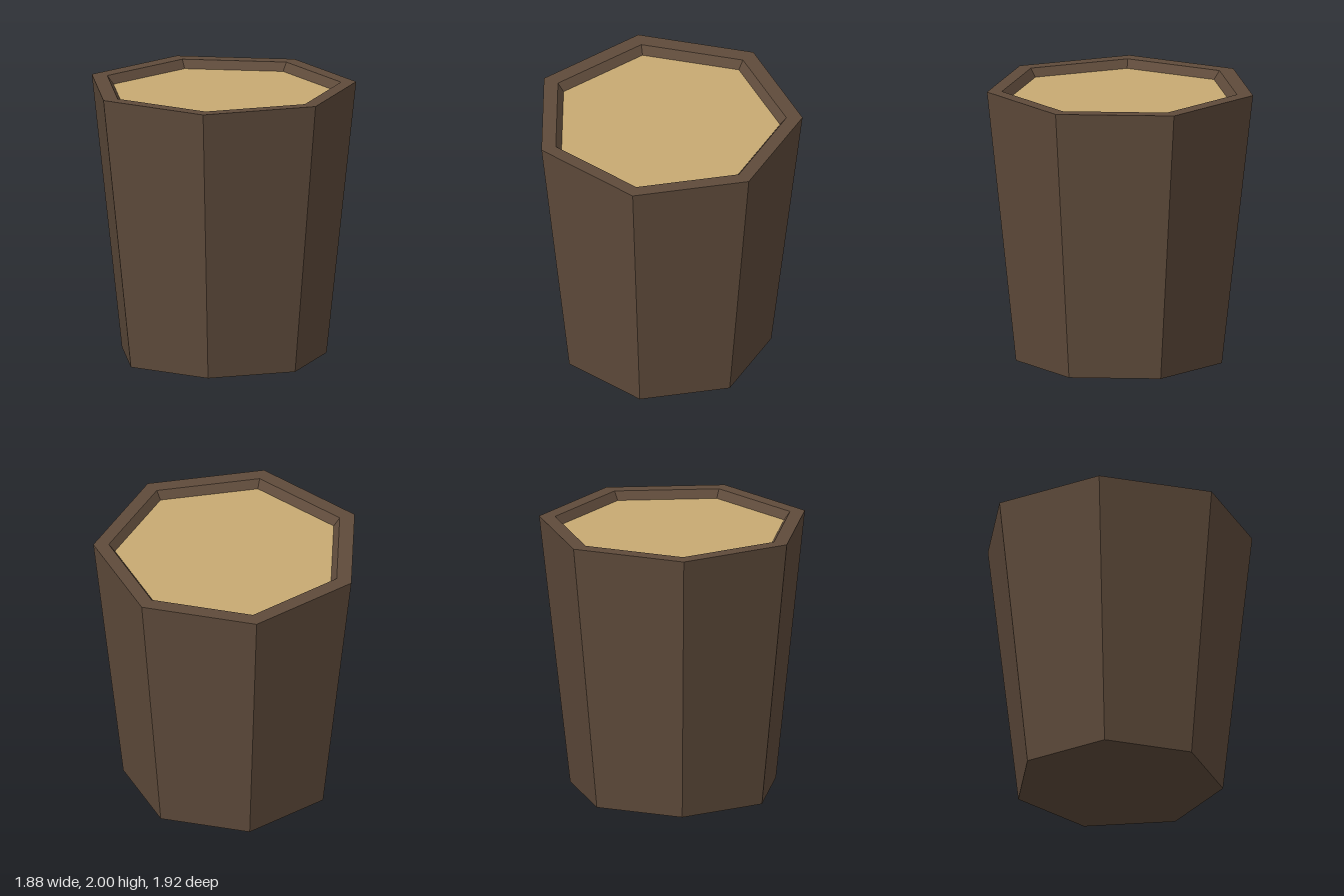
import * as THREE from 'three';

const SIDES = 7;
const OFFSET = 0.0495; // keeps each odd-sided ring centred on x

// Revolve a profile of [radius, height] points into a flat-sided solid
function facetedLathe(profile) {
  const points = profile.map(([r, y]) => new THREE.Vector2(r, y));
  const geometry = new THREE.LatheGeometry(points, SIDES, Math.PI / 2).toNonIndexed();
  const pos = geometry.attributes.position;
  for (let i = 0; i < pos.count; i++) {
    const r = Math.hypot(pos.getX(i), pos.getZ(i));
    pos.setX(i, pos.getX(i) - OFFSET * r);
  }
  geometry.computeVertexNormals();
  return geometry;
}

export function createModel() {
  const group = new THREE.Group();
  group.name = 'stump';

  const bark = new THREE.MeshStandardMaterial({ color: 0x5f4b3b, flatShading: true });
  bark.name = 'dark brown';
  const wood = new THREE.MeshStandardMaterial({ color: 0xc8aa72, flatShading: true });
  wood.name = 'pale tan';

  // Base, tapered sides, raised rim and the slanted inner wall
  const shell = new THREE.Mesh(
    facetedLathe([[0, 0], [0.764, 0], [0.987, 2], [0.872, 2], [0.826, 1.94]]),
    bark
  );
  shell.name = 'outerShell';

  // Sunken top surface
  const top = new THREE.Mesh(facetedLathe([[0.826, 1.94], [0, 1.94]]), wood);
  top.name = 'topSurface';

  group.add(shell, top);
  return group;
}
